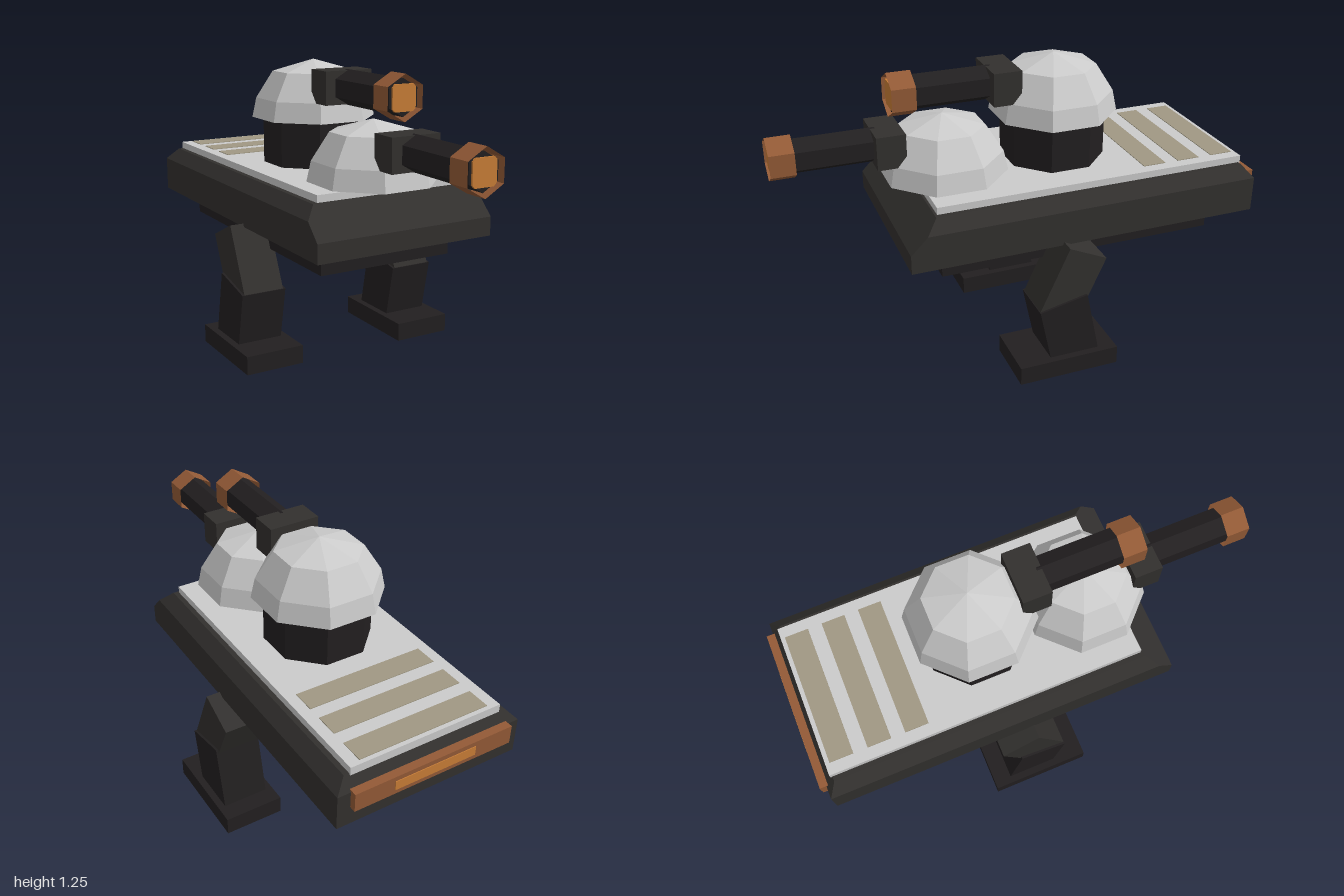
import * as THREE from 'three';

const mat = (color, side = THREE.FrontSide) =>
  new THREE.MeshStandardMaterial({ color, flatShading: true, side });
const grey = mat(0xcccccc);
const hullDark = mat(0x32302e);
const dark = mat(0x221f20);
const copper = mat(0x935a36, THREE.DoubleSide);
const amber = mat(0xc87d36);
const tan = mat(0xa09883);

// Circumradius of an octagon from its half width across flats
const oct = (halfWidth) => halfWidth / Math.cos(Math.PI / 8);

function add(parent, name, geometry, material, x = 0, y = 0, z = 0) {
  const mesh = new THREE.Mesh(geometry, material);
  mesh.name = name;
  mesh.position.set(x, y, z);
  parent.add(mesh);
  return mesh;
}

// Box given by its width and its y and z ranges, centred on x
function slab(parent, name, material, w, y0, y1, z0, z1) {
  return add(parent, name, new THREE.BoxGeometry(w, y1 - y0, z1 - z0), material,
    0, (y0 + y1) / 2, (z0 + z1) / 2);
}

// Hull skinned over rectangular sections: [y, half width, front z, back z]
function hullGeometry() {
  const rings = [
    [0.57, 0.405, 0.55, -0.97],
    [0.65, 0.405, 0.55, -0.97],
    [0.72, 0.405, 0.48, -0.97],
    [0.77, 0.355, 0.43, -0.93],
  ].map(([y, h, f, b]) => [[-h, y, f], [h, y, f], [h, y, b], [-h, y, b]]);
  const pos = [];
  const quad = (a, b, c, d) => pos.push(...a, ...b, ...c, ...a, ...c, ...d);
  for (let i = 0; i < rings.length - 1; i++) {
    for (let j = 0; j < 4; j++) {
      const k = (j + 1) % 4;
      quad(rings[i][j], rings[i][k], rings[i + 1][k], rings[i + 1][j]);
    }
  }
  quad(...rings[rings.length - 1]);
  quad(...[...rings[0]].reverse());
  const g = new THREE.BufferGeometry();
  g.setAttribute('position', new THREE.Float32BufferAttribute(pos, 3));
  g.computeVertexNormals();
  return g;
}

// Six-sided cylinder lying along z, with a corner on top
function hexTube(radius, z0, z1, open = false) {
  return new THREE.CylinderGeometry(radius, radius, z1 - z0, 6, 1, open)
    .rotateX(Math.PI / 2).translate(0, 0, (z0 + z1) / 2);
}

// Glowing bore: square with clipped corners
function boreGeometry() {
  const s = 0.053, c = 0.012;
  const shape = new THREE.Shape([
    [-s + c, -s], [s - c, -s], [s, -s + c], [s, s - c],
    [s - c, s], [-s + c, s], [-s, s - c], [-s, -s + c],
  ].map(([x, y]) => new THREE.Vector2(x, y)));
  return new THREE.ExtrudeGeometry(shape, { depth: 0.01, bevelEnabled: false });
}

// Faceted dome with a breech block, barrel and muzzle
function turret(name, y, z) {
  const t = new THREE.Group();
  t.name = name;
  t.position.set(0, y, z);
  const profile = [[0, 0], [0.25, 0], [0.233, 0.085], [0.165, 0.2], [0, 0.25]]
    .map(([r, h]) => new THREE.Vector2(oct(r), h));
  add(t, 'dome', new THREE.LatheGeometry(profile, 8), grey).rotation.y = Math.PI / 8;
  slab(t, 'breech', hullDark, 0.22, 0.085, 0.225, 0.18, 0.3);
  add(t, 'barrel', hexTube(0.074, 0.28, 0.695), dark, 0, 0.155);
  add(t, 'muzzle', hexTube(0.092, 0.61, 0.71, true), copper, 0, 0.155);
  add(t, 'bore', boreGeometry(), amber, 0, 0.155, 0.693);
  return t;
}

function leg(side) {
  const l = new THREE.Group();
  l.name = side > 0 ? 'leftLeg' : 'rightLeg';
  l.position.x = side * 0.375;
  add(l, 'thigh', new THREE.BoxGeometry(0.18, 0.3, 0.18), hullDark, 0, 0.41, -0.108)
    .rotation.x = -0.43;
  add(l, 'shin', new THREE.BoxGeometry(0.2, 0.3, 0.213), dark, 0, 0.186, -0.096)
    .rotation.x = 0.21;
  slab(l, 'foot', dark, 0.26, 0, 0.08, -0.305, 0.135);
  return l;
}

export function createModel() {
  const model = new THREE.Group();
  model.name = 'walkerTank';

  // Body
  add(model, 'hull', hullGeometry(), hullDark);
  slab(model, 'belly', dark, 0.61, 0.47, 0.575, -0.81, 0.4);
  slab(model, 'deck', grey, 0.666, 0.765, 0.8, -0.938, 0.42);
  for (const z of [-0.87, -0.71, -0.55]) {
    slab(model, 'deckVent', tan, 0.57, 0.79, 0.803, z - 0.05, z + 0.05);
  }
  slab(model, 'rearLightHousing', copper, 0.7, 0.65, 0.73, -0.997, -0.96);
  slab(model, 'rearLight', amber, 0.36, 0.67, 0.71, -1, -0.98);

  // Turrets
  const r = oct(0.205);
  add(model, 'turretPillar', new THREE.CylinderGeometry(r, r, 0.21, 8), dark, 0, 0.9, -0.198)
    .rotation.y = Math.PI / 8;
  model.add(turret('rearTurret', 1.0, -0.198), turret('frontTurret', 0.8, 0.29));

  // Legs
  model.add(leg(1), leg(-1));
  return model;
}
